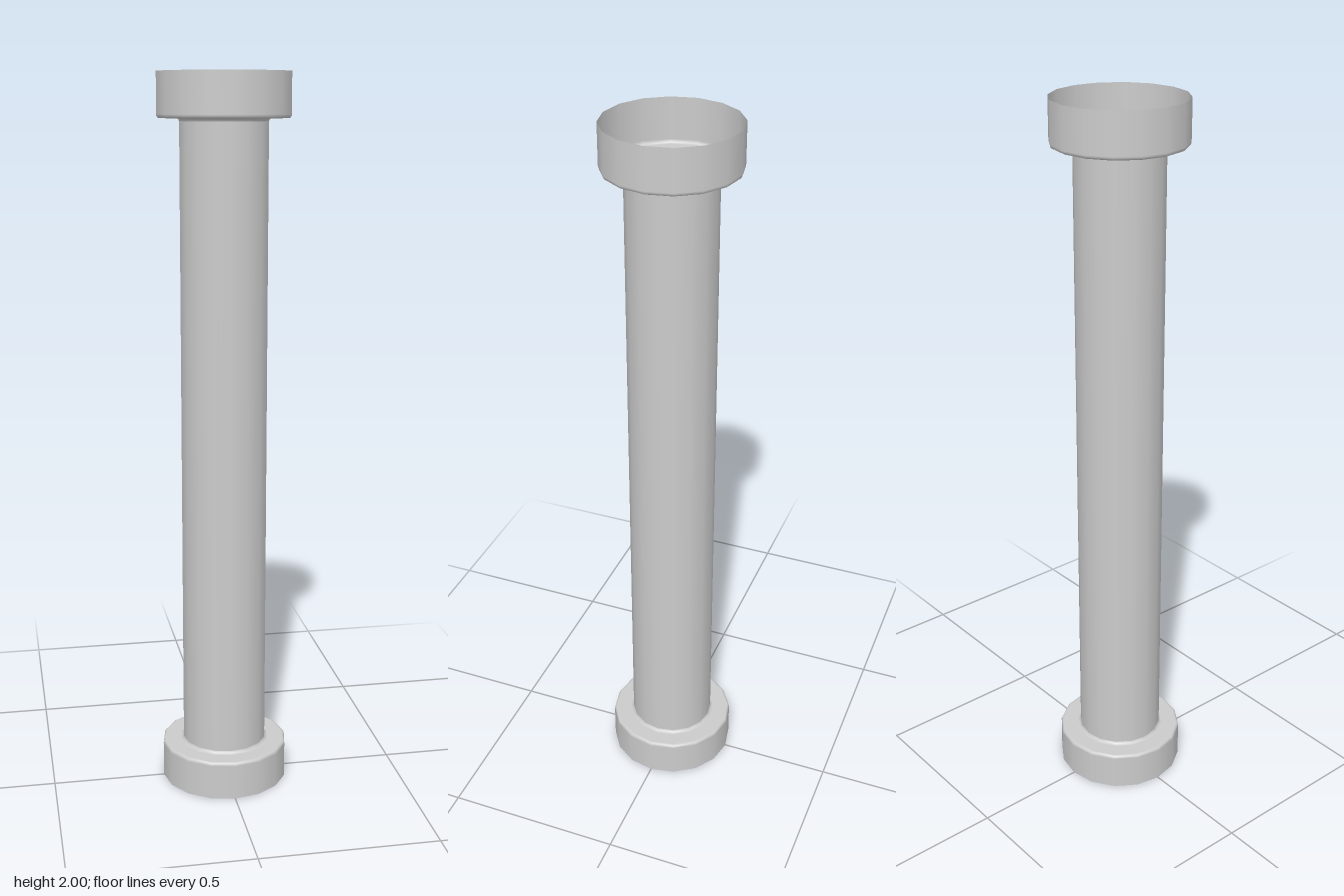
import * as THREE from 'three';

const SIDES = 16;
const material = new THREE.MeshStandardMaterial({ color: 0xcccccc, side: THREE.DoubleSide });

// Thin surface of revolution from [radius, height] points, listed bottom to top
function shell(name, profile) {
  const points = profile.map(([r, y]) => new THREE.Vector2(r, y));
  const mesh = new THREE.Mesh(new THREE.LatheGeometry(points, SIDES), material);
  mesh.name = name;
  return mesh;
}

// Open cup: neck fillet, flat shoulder, rounded corner, straight wall to the rim.
// dir is +1 for a cup opening upwards, -1 for one opening downwards.
function socket(name, shoulderY, rimY, dir) {
  const profile = [
    [0.12, shoulderY - dir * 0.008],
    [0.122, shoulderY - dir * 0.003],
    [0.127, shoulderY],
    [0.129, shoulderY],
    [0.171, shoulderY],
    [0.174, shoulderY],
    [0.178, shoulderY + dir * 0.002],
    [0.18, shoulderY + dir * 0.007],
    [0.18, shoulderY + dir * 0.01],
    [0.18, rimY],
  ];
  return shell(name, dir > 0 ? profile : profile.reverse());
}

export function createModel() {
  const model = new THREE.Group();
  model.name = 'pipe';
  const top = 1.881, bottom = 0.11;

  // Long open tube
  model.add(shell('tube', [[0.12, bottom + 0.008], [0.12, top - 0.008]]));

  // Wider open sockets at both ends
  model.add(socket('upperSocket', top, 2, 1));
  model.add(socket('lowerSocket', bottom, 0, -1));
  return model;
}
